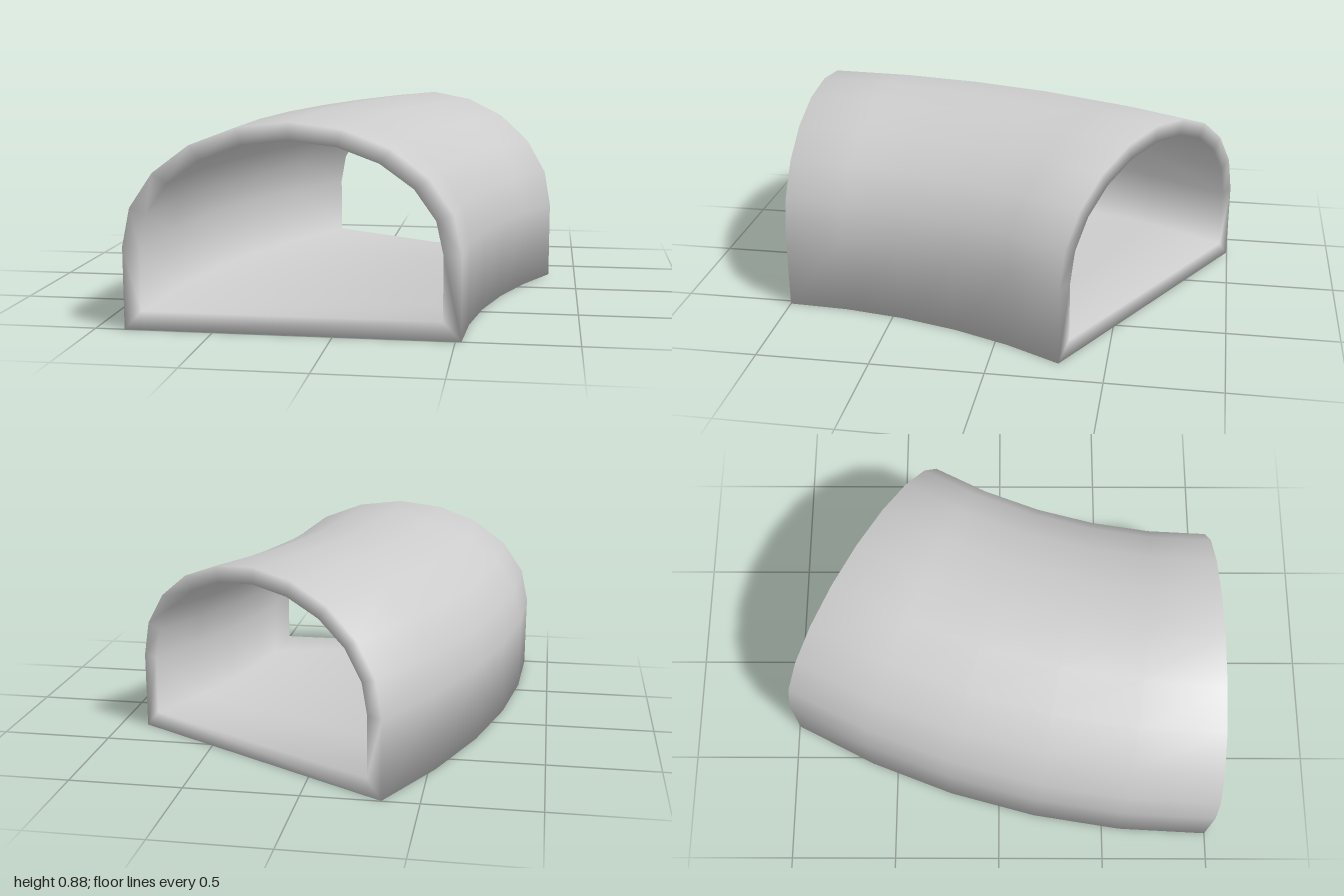
import * as THREE from 'three';

const CENTRE_X = 3.12;     // pivot of the bend
const RADIUS = 3.295;      // pivot to the middle of the tunnel
const BEND = Math.PI / 6;
const STEPS = 5;
const ARCH_STEPS = 10;

// D-shaped section: flat floor, short walls, elliptical arch (counterclockwise)
function section(halfWidth, floor, springing, rise) {
  const points = [[-halfWidth, floor], [halfWidth, floor]];
  for (let i = 0; i <= ARCH_STEPS; i++) {
    const t = (i / ARCH_STEPS) * Math.PI;
    points.push([halfWidth * Math.cos(t), springing + rise * Math.sin(t)]);
  }
  return points;
}

function bentTunnel() {
  const outer = section(0.7, 0, 0.35, 0.525);
  const inner = section(0.625, 0.08, 0.35, 0.45);
  const n = outer.length;
  const positions = [];
  const index = [];

  // Sweep both sections around the pivot
  for (let k = 0; k <= STEPS; k++) {
    const a = (k / STEPS) * BEND;
    for (const [x, y] of [...outer, ...inner]) {
      const r = RADIUS - x;
      positions.push(CENTRE_X - r * Math.cos(a), y, 1 - r * Math.sin(a));
    }
  }
  const out = (k, j) => k * 2 * n + (j % n);
  const inn = (k, j) => out(k, j) + n;
  const quad = (a, b, c, d) => index.push(a, b, c, a, c, d);

  for (let j = 0; j < n; j++) {
    // Outer and inner shells
    for (let k = 0; k < STEPS; k++) {
      quad(out(k, j), out(k + 1, j), out(k + 1, j + 1), out(k, j + 1));
      quad(inn(k, j), inn(k, j + 1), inn(k + 1, j + 1), inn(k + 1, j));
    }
    // Front and back rims
    quad(out(0, j), out(0, j + 1), inn(0, j + 1), inn(0, j));
    quad(out(STEPS, j), inn(STEPS, j), inn(STEPS, j + 1), out(STEPS, j + 1));
  }

  const geometry = new THREE.BufferGeometry();
  geometry.setAttribute('position', new THREE.Float32BufferAttribute(positions, 3));
  geometry.setIndex(index);
  geometry.computeVertexNormals(); // shared corners give soft edges
  return geometry;
}

export function createModel() {
  const lightGrey = new THREE.MeshStandardMaterial({ color: 0xcccccc });
  lightGrey.name = 'lightGrey';

  const tunnel = new THREE.Mesh(bentTunnel(), lightGrey);
  tunnel.name = 'curvedTunnel';

  const group = new THREE.Group();
  group.name = 'tunnelBend';
  group.add(tunnel);
  return group;
}
